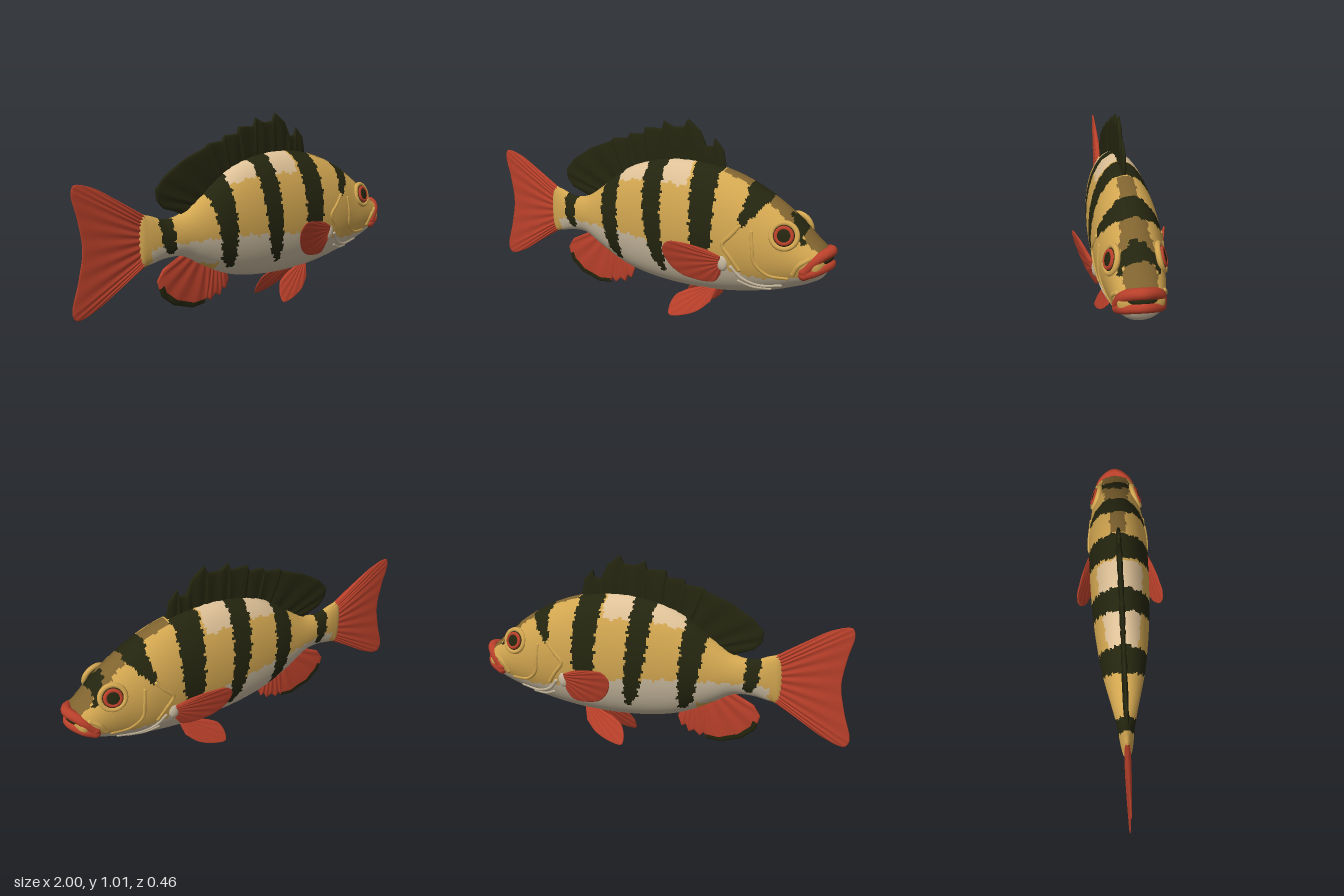
import * as THREE from 'three';

const mat = (name, color) => Object.assign(new THREE.MeshStandardMaterial({ color }), { name });
const GOLD = 0, DARK = 1, CREAM = 2, PALE = 3, BROWN = 4, RED = 5;
const palette = [
  mat('gold scales', 0xd2a650), mat('dark bands', 0x24250f), mat('cream belly', 0xcabba0),
  mat('pale back patches', 0xdec197), mat('brown forehead', 0x80632f), mat('red fins', 0xb9402a),
];

// Body profile: x -> top, bottom, half width
const sections = [
  [-0.655, 0.49, 0.37, 0.004], [-0.635, 0.55, 0.305, 0.02], [-0.6, 0.55, 0.305, 0.03],
  [-0.5, 0.52, 0.325, 0.045], [-0.4, 0.535, 0.322, 0.067], [-0.3, 0.60, 0.27, 0.092],
  [-0.2, 0.68, 0.22, 0.115], [-0.1, 0.74, 0.183, 0.13], [0, 0.775, 0.163, 0.142],
  [0.1, 0.797, 0.152, 0.15], [0.25, 0.806, 0.148, 0.157], [0.4, 0.79, 0.156, 0.159],
  [0.5, 0.765, 0.17, 0.159], [0.6, 0.725, 0.19, 0.154], [0.7, 0.67, 0.215, 0.14],
  [0.8, 0.60, 0.25, 0.127], [0.9, 0.51, 0.295, 0.106], [0.95, 0.462, 0.335, 0.085],
  [0.972, 0.425, 0.385, 0.03],
];
const profile = new THREE.CubicInterpolant(sections.map(s => s[0]), sections.flatMap(s => s.slice(1)), 3, new Float32Array(3));
const sectionAt = x => {
  const [top, bottom, w] = profile.evaluate(x);
  return { c: (top + bottom) / 2, h: (top - bottom) / 2, w };
};
const surfaceZ = (x, y) => {
  const { c, h, w } = sectionAt(x);
  return w * Math.sqrt(Math.max(0, 1 - ((y - c) / h) ** 2));
};

// Piecewise linear lookup in [key, value...] rows
function lookup(rows, k, col = 1) {
  let i = 1;
  while (i < rows.length - 1 && rows[i][0] < k) i++;
  const a = rows[i - 1], b = rows[i];
  const t = THREE.MathUtils.clamp((k - a[0]) / (b[0] - a[0]), 0, 1);
  return a[col] + (b[col] - a[col]) * t;
}

// Closed skin: u runs along, v wraps around; each quad takes a palette colour
function skin(name, nu, nv, point, colour) {
  const pos = [], buckets = palette.map(() => []);
  for (let i = 0; i <= nu; i++) for (let j = 0; j < nv; j++) pos.push(...point(i / nu, j / nv));
  for (let i = 0; i < nu; i++) for (let j = 0; j < nv; j++) {
    const a = i * nv + j, b = i * nv + (j + 1) % nv, c = a + nv, d = b + nv;
    const u = (i + 0.5) / nu, v = (j + 0.5) / nv;
    buckets[colour(u, v, point(u, v))].push(a, b, c, c, b, d);
  }
  const geo = new THREE.BufferGeometry();
  geo.setAttribute('position', new THREE.Float32BufferAttribute(pos, 3));
  geo.setIndex(buckets.flat());
  let start = 0;
  buckets.forEach((list, m) => {
    if (list.length) geo.addGroup(start, list.length, m);
    start += list.length;
  });
  geo.computeVertexNormals();
  const mesh = new THREE.Mesh(geo, palette);
  mesh.name = name;
  return mesh;
}

// Vertical bands: rows of y, xMin, xMax from low to high
const bands = [
  [[0.35, -0.49, -0.465], [0.39, -0.53, -0.46], [0.53, -0.545, -0.47]],
  [[0.24, -0.17, -0.13], [0.3, -0.21, -0.13], [0.5, -0.25, -0.14], [0.7, -0.285, -0.155]],
  [[0.235, 0.125, 0.15], [0.3, 0.08, 0.155], [0.5, 0.035, 0.14], [0.81, 0.0, 0.115]],
  [[0.38, 0.32, 0.41], [0.45, 0.31, 0.43], [0.6, 0.3, 0.43], [0.81, 0.28, 0.42]],
  [[0.545, 0.56, 0.585], [0.6, 0.565, 0.63], [0.66, 0.58, 0.68], [0.75, 0.575, 0.685]],
  [[0.49, 0.855, 0.875], [0.55, 0.81, 0.855], [0.62, 0.785, 0.83]],
];
const bellyLine = [[-0.58, 0.39], [-0.2, 0.41], [0.05, 0.4], [0.3, 0.37], [0.47, 0.38], [0.52, 0.32], [0.65, 0.3], [0.78, 0.31], [0.9, 0.36]];

function bodyColour(u, v, [x, y, z]) {
  const jag = 0.005 * Math.sin(y * 95 + x * 20) + 0.004 * Math.sin(y * 231 + z * 60);
  const wave = 0.006 * Math.sin(x * 80) + 0.004 * Math.sin(x * 190);
  for (const b of bands)
    if (y > b[0][0] && x > lookup(b, y, 1) + jag && x < lookup(b, y, 2) + jag) return DARK;
  if (x > -0.585 + jag && y < lookup(bellyLine, x) + wave)
    return x > -0.33 && x < -0.22 && y < 0.275 + wave ? GOLD : CREAM;
  if (x > 0.43 && y > 0.45 && Math.abs(z) < lookup([[0.43, 0.035], [0.6, 0.045], [0.75, 0.07]], x) + jag) return BROWN;
  if (x > -0.16 && x < 0.27 + jag && y > lookup([[-0.16, 0.66], [0, 0.70], [0.27, 0.70]], x) + wave) return PALE;
  return GOLD;
}

// Fin from rows of [baseX, baseY, edgeX, edgeY], with ribs across the membrane
function fin(name, rows, { smooth = true, ribs = 10, thick = 0.014, tip = 0.6, side = 1, steps = 8, zOf = () => 0, colour = () => RED }) {
  const curves = [0, 2].map(k => new THREE.CatmullRomCurve3(rows.map(r => new THREE.Vector3(r[k], r[k + 1], 0))));
  const at = (k, u) => {
    if (smooth) return curves[k].getPoint(u);
    const f = Math.min(u * (rows.length - 1), rows.length - 1 - 1e-9), i = Math.floor(f), t = f - i;
    const p = n => new THREE.Vector3(rows[n][2 * k], rows[n][2 * k + 1], 0);
    return p(i).lerp(p(i + 1), t);
  };
  const point = (uu, v) => {
    const u = side > 0 ? uu : 1 - uu, a = v * Math.PI * 2, r = (1 - Math.cos(a)) / 2;
    const p = at(0, u).lerp(at(1, u), r), s = Math.sin(a);
    const body = Math.sign(s) * Math.pow(Math.abs(s), 0.4) * Math.sqrt(Math.max(0, 1 - (2 * u - 1) ** 8));
    const z = thick * (1 - (1 - tip) * r) * body * (0.84 + 0.16 * Math.cos(u * ribs * Math.PI * 2));
    return [p.x, p.y, side * (zOf(p.x, p.y) + z)];
  };
  return skin(name, (rows.length - 1) * steps, 36, point,
    (u, v) => colour(side > 0 ? u : 1 - u, (1 - Math.cos(v * Math.PI * 2)) / 2));
}

function tube(name, pts, radius, material) {
  const g = new THREE.Group();
  g.name = name;
  const curve = new THREE.CatmullRomCurve3(pts.map(p => new THREE.Vector3(...p)));
  g.add(new THREE.Mesh(new THREE.TubeGeometry(curve, 40, radius, 12), material));
  for (const p of [pts[0], pts[pts.length - 1]]) g.add(ball(name + 'End', p, [radius, radius, radius], material));
  return g;
}

function ball(name, p, scale, material) {
  const m = new THREE.Mesh(new THREE.SphereGeometry(1, 24, 16), material);
  m.name = name;
  m.position.set(...p);
  m.scale.set(...scale);
  return m;
}

export function createModel() {
  const fish = new THREE.Group();
  fish.name = 'fish';

  fish.add(skin('body', 250, 130, (u, v) => {
    const x = -0.655 + 1.627 * u, a = v * Math.PI * 2, { c, h, w } = sectionAt(x);
    const end = u === 0 || u === 1 ? 0.001 : 1;
    return [x, c + h * end * Math.cos(a), w * end * Math.sin(a)];
  }, bodyColour));

  // Spiny dorsal fin running into the soft rear lobe
  fish.add(fin('dorsalFin', [
    [0.42, 0.75, 0.425, 0.8], [0.41, 0.75, 0.41, 0.87], [0.38, 0.75, 0.36, 0.925], [0.35, 0.75, 0.355, 0.885],
    [0.31, 0.76, 0.315, 0.88], [0.28, 0.76, 0.28, 0.955], [0.23, 0.76, 0.21, 1.008], [0.2, 0.76, 0.19, 0.965],
    [0.14, 0.75, 0.13, 0.96], [0.09, 0.75, 0.075, 0.987], [0.07, 0.75, 0.065, 0.945], [0, 0.73, -0.035, 0.945],
    [-0.03, 0.72, -0.045, 0.91], [-0.08, 0.7, -0.13, 0.905], [-0.1, 0.69, -0.14, 0.88], [-0.15, 0.66, -0.23, 0.87],
    [-0.16, 0.65, -0.25, 0.852], [-0.2, 0.63, -0.38, 0.8], [-0.25, 0.6, -0.49, 0.73], [-0.28, 0.57, -0.545, 0.67],
    [-0.3, 0.56, -0.54, 0.615], [-0.33, 0.53, -0.5, 0.57], [-0.36, 0.51, -0.42, 0.545],
  ], { smooth: false, ribs: 16, thick: 0.016, tip: 0.85, colour: () => DARK }));

  fish.add(fin('tailFin', [
    [-0.59, 0.54, -0.75, 0.637], [-0.6, 0.53, -0.88, 0.708], [-0.61, 0.51, -0.97, 0.725], [-0.61, 0.49, -0.985, 0.69],
    [-0.62, 0.46, -0.958, 0.57], [-0.62, 0.43, -0.938, 0.43], [-0.62, 0.39, -0.962, 0.29], [-0.61, 0.36, -0.998, 0.14],
    [-0.61, 0.34, -0.975, 0.105], [-0.6, 0.33, -0.88, 0.135], [-0.59, 0.315, -0.74, 0.225],
  ], { ribs: 14, thick: 0.02, tip: 0.3, steps: 10 }));

  // Anal fin with a dark lower margin
  fish.add(fin('analFin', [
    [-0.38, 0.34, -0.43, 0.29], [-0.37, 0.34, -0.51, 0.27], [-0.35, 0.32, -0.545, 0.215], [-0.32, 0.31, -0.52, 0.135],
    [-0.3, 0.29, -0.45, 0.08], [-0.27, 0.27, -0.34, 0.047], [-0.25, 0.26, -0.265, 0.055], [-0.22, 0.25, -0.25, 0.085],
    [-0.21, 0.25, -0.225, 0.065], [-0.19, 0.24, -0.195, 0.095], [-0.18, 0.23, -0.165, 0.08], [-0.16, 0.22, -0.15, 0.12],
    [-0.14, 0.21, -0.125, 0.11], [-0.12, 0.2, -0.105, 0.165],
  ], { smooth: false, ribs: 10, thick: 0.015, tip: 0.85, colour: (u, r) => (r > 0.88 && u > 0.19 && u < 0.48 ? DARK : RED) }));

  for (const side of [1, -1]) {
    const label = side > 0 ? 'left' : 'right';

    fish.add(fin(label + 'PelvicFin', [
      [0.35, 0.175, 0.25, 0.14], [0.36, 0.175, 0.19, 0.1], [0.37, 0.175, 0.168, 0.045], [0.38, 0.175, 0.175, 0.005],
      [0.39, 0.175, 0.24, 0.012], [0.4, 0.175, 0.33, 0.05], [0.41, 0.175, 0.39, 0.105],
    ], { ribs: 6, thick: 0.01, side, zOf: (x, y) => 0.045 + (0.165 - y) * 0.45 }));

    fish.add(fin(label + 'PectoralFin', [
      [0.48, 0.39, 0.42, 0.42], [0.48, 0.385, 0.31, 0.442], [0.48, 0.38, 0.23, 0.442], [0.48, 0.37, 0.197, 0.4],
      [0.48, 0.36, 0.215, 0.33], [0.48, 0.35, 0.27, 0.27], [0.48, 0.34, 0.36, 0.242], [0.48, 0.33, 0.44, 0.245],
      [0.48, 0.32, 0.475, 0.29],
    ], { ribs: 9, thick: 0.01, side, steps: 10, zOf: (x, y) => 0.122 + 0.26 * (y - 0.24) + 0.22 * (0.48 - x) }));
    fish.add(ball(label + 'FinRoot', [0.485, 0.355, side * 0.142], [0.03, 0.045, 0.02], palette[CREAM]));

    // Raised folds that follow the head surface
    const ridge = (name, pts, r, m) => fish.add(tube(label + name,
      pts.map(([x, y]) => [x, y, side * (surfaceZ(x, y) - r * 0.35)]), r, palette[m]));
    ridge('GillCoverEdge', [[0.57, 0.55], [0.53, 0.5], [0.49, 0.45], [0.53, 0.39], [0.57, 0.33]], 0.011, GOLD);
    ridge('CheekFold', [[0.63, 0.53], [0.64, 0.45], [0.65, 0.38], [0.71, 0.325], [0.8, 0.32]], 0.009, GOLD);
    ridge('UpperJaw', [[0.9, 0.43], [0.86, 0.4], [0.83, 0.35]], 0.012, GOLD);
    ridge('ThroatFold', [[0.53, 0.34], [0.58, 0.285], [0.66, 0.255], [0.76, 0.27]], 0.01, CREAM);
    ridge('LowerThroatFold', [[0.56, 0.265], [0.62, 0.24], [0.7, 0.235]], 0.009, CREAM);

    // Eye with socket rim, red iris ring and pupil
    const eye = new THREE.Group();
    eye.name = label + 'Eye';
    eye.position.set(0.78, 0.528, side * (surfaceZ(0.78, 0.528) - 0.002));
    eye.lookAt(eye.position.x + 0.25, eye.position.y + 0.3, eye.position.z + side);
    const rim = new THREE.Mesh(new THREE.TorusGeometry(0.06, 0.013, 12, 36), palette[GOLD]);
    rim.name = 'eyeRim';
    const iris = new THREE.Mesh(new THREE.TorusGeometry(0.037, 0.01, 10, 32), palette[RED]);
    iris.name = 'iris';
    iris.position.z = 0.011;
    eye.add(rim, iris, ball('eyeball', [0, 0, 0], [0.054, 0.054, 0.022], palette[DARK]));
    fish.add(eye);
  }

  // Mouth
  const lip = (cornerY, midY, frontY, frontX) => [
    [0.878, cornerY, -0.092], [0.93, midY, -0.072], [frontX, frontY, 0], [0.93, midY, 0.072], [0.878, cornerY, 0.092]];
  fish.add(tube('upperLip', lip(0.367, 0.428, 0.456, 0.972), 0.026, palette[RED]));
  fish.add(tube('lowerLip', lip(0.348, 0.372, 0.392, 0.97), 0.025, palette[RED]));
  fish.add(ball('mouthOpening', [0.94, 0.418, 0], [0.042, 0.026, 0.07], palette[DARK]));
  return fish;
}
